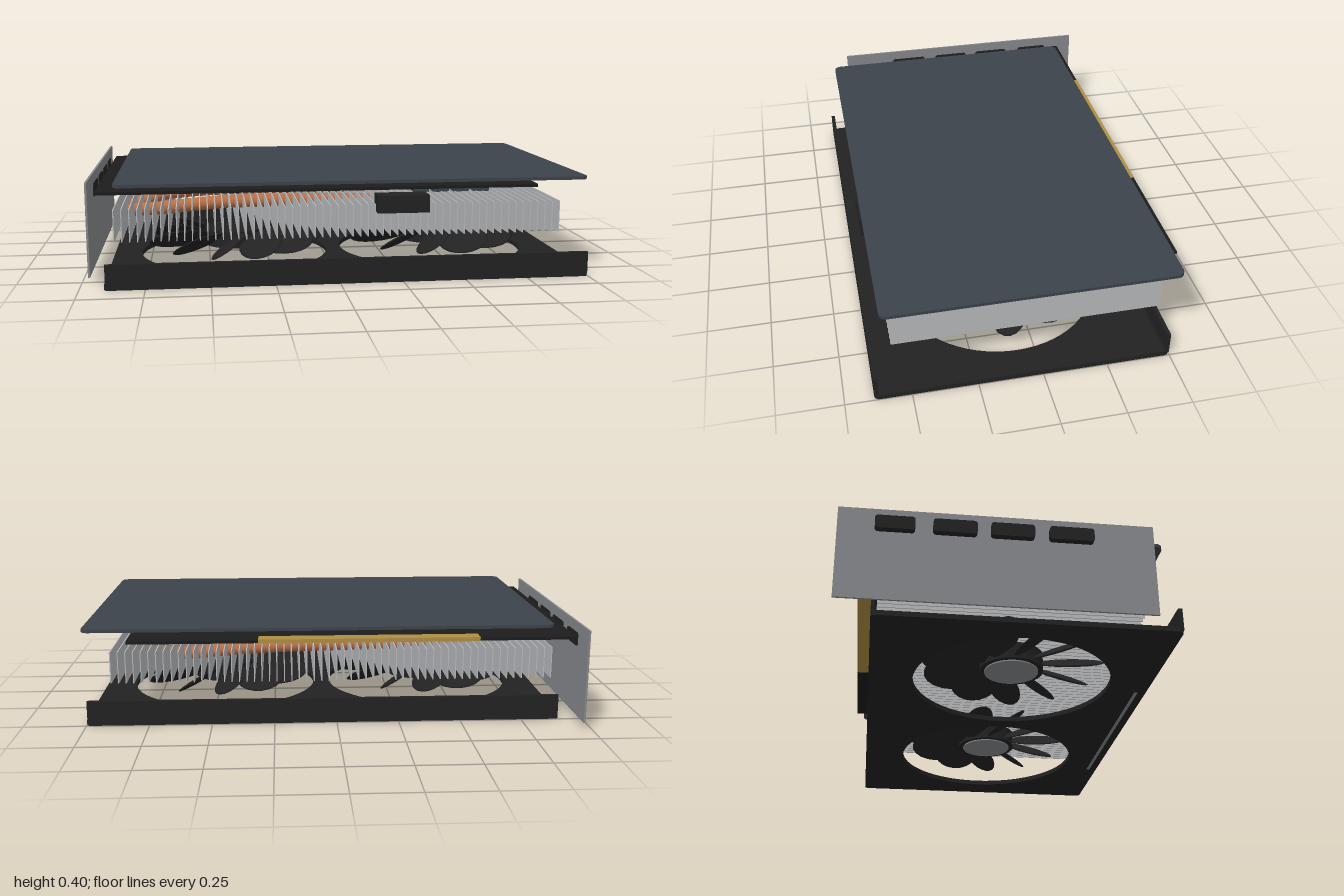
import * as THREE from 'three';

const mat = (name, color, side = THREE.FrontSide) => {
  const m = new THREE.MeshStandardMaterial({ color, side });
  m.name = name;
  return m;
};

export function createModel() {
  const root = new THREE.Group();
  root.name = 'graphicsCard';

  const black = mat('blackPlastic', 0x222222);
  const board = mat('boardBlack', 0x1c1c1c);
  const slate = mat('slateMetal', 0x3d434b);
  const fin = mat('finAluminium', 0xb8babd);
  const steel = mat('bracketSteel', 0x87898c);
  const copper = mat('copper', 0xb87048);
  const gold = mat('gold', 0xb08f42);
  const green = mat('substrateGreen', 0x1f5a36);

  const add = (name, geo, material, parent = root) => {
    const mesh = new THREE.Mesh(geo, material);
    mesh.name = name;
    parent.add(mesh);
    return mesh;
  };
  // Box given by its limits on each axis
  const box = (name, material, x0, x1, y0, y1, z0, z1, parent = root) => {
    const mesh = add(name, new THREE.BoxGeometry(x1 - x0, y1 - y0, z1 - z0), material, parent);
    mesh.position.set((x0 + x1) / 2, (y0 + y1) / 2, (z0 + z1) / 2);
    return mesh;
  };
  const roundRect = (x0, x1, y0, y1, r) => {
    const s = new THREE.Shape();
    s.moveTo(x0 + r, y0);
    s.lineTo(x1 - r, y0);
    s.absarc(x1 - r, y0 + r, r, -Math.PI / 2, 0);
    s.absarc(x1 - r, y1 - r, r, 0, Math.PI / 2);
    s.absarc(x0 + r, y1 - r, r, Math.PI / 2, Math.PI);
    s.absarc(x0 + r, y0 + r, r, Math.PI, Math.PI * 1.5);
    return s;
  };
  // Horizontal plate from a shape drawn in x and -z
  const plate = (name, shape, y0, y1, material) => {
    const geo = new THREE.ExtrudeGeometry(shape, { depth: y1 - y0, bevelEnabled: false, curveSegments: 32 });
    geo.rotateX(-Math.PI / 2).translate(0, y0, 0);
    return add(name, geo, material);
  };

  const fanXs = [-0.39, 0.475], fanZ = 0.075;

  // Fan shroud: floor with two round openings and low walls along the long sides
  const floor = roundRect(-0.905, 1, -0.64, 0.5, 0.02);
  for (const x of fanXs) {
    const hole = new THREE.Path();
    hole.absarc(x, -fanZ, 0.4, 0, Math.PI * 2, true);
    floor.holes.push(hole);
  }
  plate('shroudFloor', floor, 0, 0.02, black);
  box('shroudFrontWall', black, -0.9, 0.995, 0.01, 0.1, 0.624, 0.64);
  box('shroudBackWall', black, -0.9, 0.995, 0.01, 0.1, -0.5, -0.484);
  box('shroudAccent', steel, -0.36, 0.58, -0.001, 0.003, 0.593, 0.607);

  // Fans: hub, cap and pitched leaf-shaped blades
  const bladeGeo = new THREE.SphereGeometry(1, 20, 10);
  bladeGeo.scale(0.14, 0.01, 0.085).rotateX(0.6).translate(0.24, 0, 0);
  const hubGeo = new THREE.CylinderGeometry(0.13, 0.13, 0.07, 40);
  const capGeo = new THREE.CylinderGeometry(0.11, 0.11, 0.008, 40);
  const blades = 11;
  for (const x of fanXs) {
    const fan = new THREE.Group();
    fan.name = 'fan';
    fan.position.set(x, 0.0875, fanZ);
    root.add(fan);
    add('fanHub', hubGeo, black, fan);
    add('fanCap', capGeo, steel, fan).position.y = -0.036;
    for (let i = 0; i < blades; i++) {
      add('fanBlade', bladeGeo, black, fan).rotation.y = (i / blades) * Math.PI * 2;
    }
  }

  // Heatsink fins
  const fins = new THREE.Group();
  fins.name = 'heatsinkFins';
  root.add(fins);
  const finCount = 60;
  for (let i = 0; i < finCount; i++) {
    const x = -0.868 + (i / (finCount - 1)) * 1.766;
    box('fin', fin, x - 0.002, x + 0.002, 0.168, 0.295, -0.48, 0.56, fins);
  }

  // Heat pipes arching through the fins
  const pipe = (z, peak, r) => {
    const path = new THREE.CatmullRomCurve3([
      [-0.815, 0.235], [-0.7, peak - 0.02], [-0.45, peak], [0.01, peak],
      [0.35, peak - 0.01], [0.62, peak - 0.03], [0.81, 0.23],
    ].map(([x, y]) => new THREE.Vector3(x, y, z)));
    add('heatPipe', new THREE.TubeGeometry(path, 40, r, 12), copper);
    for (const t of [0, 1]) {
      add('heatPipeEnd', new THREE.SphereGeometry(r, 12, 8), copper).position.copy(path.getPoint(t));
    }
  };
  for (const z of [0.075, -0.08]) pipe(z, 0.29, 0.026);
  for (const z of [0.23, -0.235]) pipe(z, 0.26, 0.028);
  box('coldPlate', copper, -0.45, 0.01, 0.295, 0.323, -0.15, 0.22);

  // Circuit board with edge connector
  box('circuitBoard', board, -0.94, 0.82, 0.346, 0.358, -0.56, 0.52);
  box('edgeConnector', gold, -0.56, 0.31, 0.344, 0.36, -0.561, -0.5);

  // Processor and memory chips under the board
  box('processorSubstrate', green, -0.335, -0.105, 0.334, 0.346, -0.15, 0.22);
  box('processorDie', board, -0.28, -0.16, 0.323, 0.334, -0.03, 0.1);
  for (const x of [-0.55, 0.03]) {
    for (const z of [-0.1, 0.035, 0.17]) {
      box('memoryChip', black, x - 0.07, x + 0.07, 0.336, 0.346, z - 0.05, z + 0.05);
    }
  }
  for (const x of [-0.31, -0.13]) {
    for (const z of [-0.23, 0.3]) {
      box('memoryChip', black, x - 0.06, x + 0.06, 0.336, 0.346, z - 0.05, z + 0.05);
    }
  }

  // Power chokes in two rows
  for (let i = 0; i < 4; i++) {
    for (const z of [0.25, -0.18]) {
      const x = 0.392 + i * 0.087;
      box('choke', slate, x - 0.034, x + 0.034, 0.293, 0.346, z - 0.034, z + 0.034);
    }
  }
  box('powerConnector', black, 0.15, 0.355, 0.267, 0.336, 0.52, 0.605);

  // Backplate
  plate('backplate', roundRect(-0.865, 1, -0.6, 0.525, 0.03), 0.385, 0.398, slate);

  // Mounting bracket with video ports passing through it
  box('bracket', steel, -0.974, -0.966, 0.025, 0.398, -0.635, 0.53);
  for (const [z0, z1] of [[-0.5, -0.355], [-0.29, -0.13], [-0.08, 0.08], [0.135, 0.3]]) {
    const geo = new THREE.ExtrudeGeometry(roundRect(-z1, -z0, 0.303, 0.357, 0.012), { depth: 0.038, bevelEnabled: false, curveSegments: 4 });
    geo.rotateY(Math.PI / 2).translate(-1, 0, 0);
    add('videoPort', geo, black);
  }

  return root;
}
